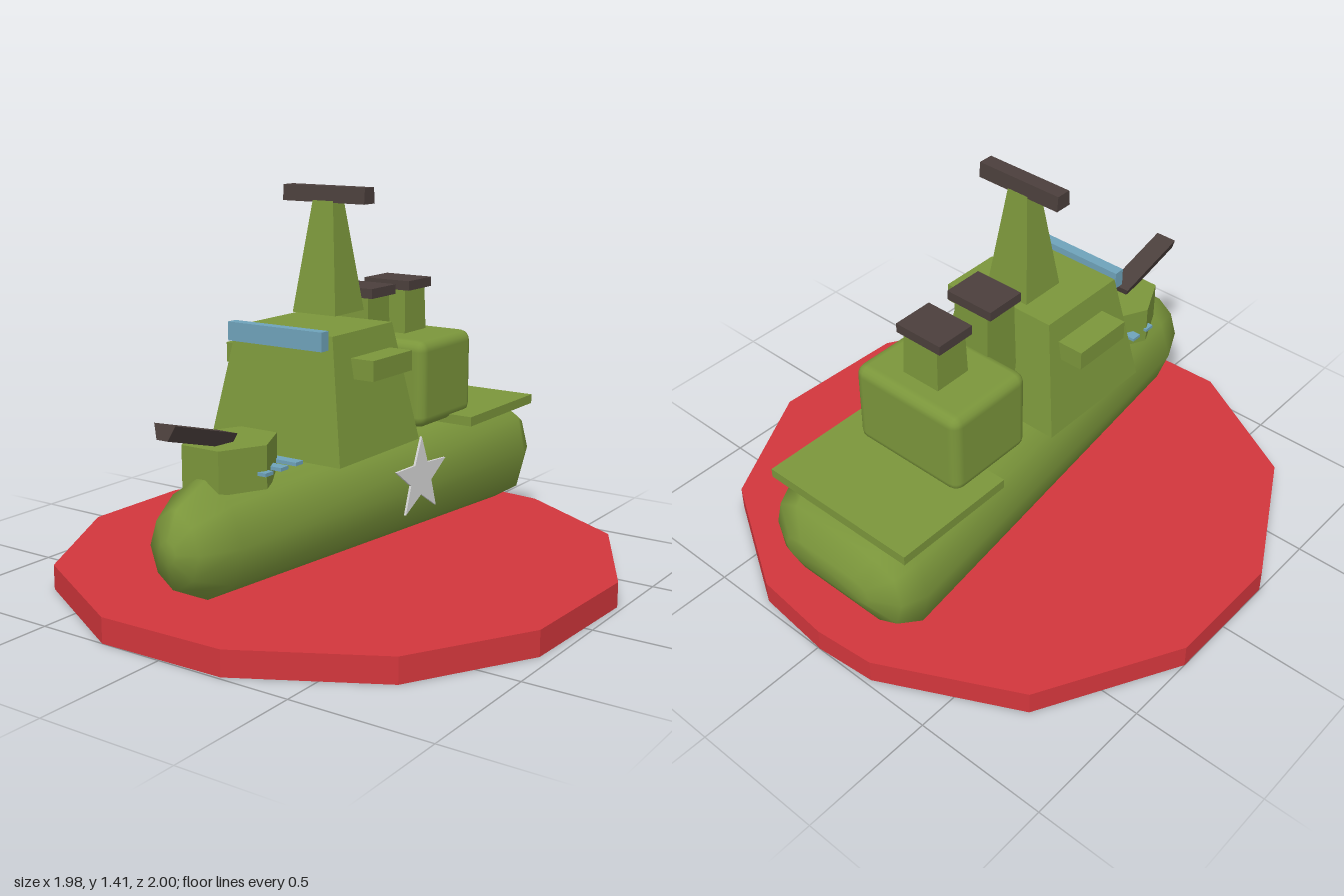
import * as THREE from 'three';
import { RoundedBoxGeometry } from 'three/addons/geometries/RoundedBoxGeometry.js';

const material = (name, color) => {
  const m = new THREE.MeshStandardMaterial({ color });
  m.name = name;
  return m;
};

// Box whose top face is scaled to another size, with flat faces
function taperedBox(w, h, d, topW = w, topD = d) {
  const g = new THREE.BoxGeometry(w, h, d);
  const p = g.attributes.position;
  for (let i = 0; i < p.count; i++) {
    if (p.getY(i) > 0) {
      p.setX(i, Math.sign(p.getX(i)) * topW / 2);
      p.setZ(i, Math.sign(p.getZ(i)) * topD / 2);
    }
  }
  g.computeVertexNormals();
  return g;
}

// Hull lofted from a boxy stern section to an octagonal bow section
function hullGeometry() {
  const stern = [[1, 0], [0.91, 0.7], [0.62, 1]];
  const bow = [[1, 0], [0.72, 0.65], [0.1, 1]];
  // z, width, height scale
  const rings = [
    [-0.93, 0, 0], [-0.93, 0.2, 0.25], [-0.88, 0.3, 0.73], [-0.79, 0.333, 1],
    [0.77, 0.167, 1], [0.905, 0.1, 0.66], [0.94, 0.035, 0.2], [0.94, 0, 0],
  ];
  const pos = [], index = [], n = 10;
  for (const [z, w, s] of rings) {
    const t = THREE.MathUtils.clamp((z + 0.79) / 1.56, 0, 1);
    const q = stern.map(([x, y], i) => [
      THREE.MathUtils.lerp(x, bow[i][0], t) * w,
      THREE.MathUtils.lerp(y, bow[i][1], t) * 0.2 * s,
    ]);
    const [a, b, c] = q;
    const loop = [a, b, c, [-c[0], c[1]], [-b[0], b[1]], [-a[0], 0],
      [-b[0], -b[1]], [-c[0], -c[1]], [c[0], -c[1]], [b[0], -b[1]]];
    for (const [x, y] of loop) pos.push(x - 0.007, y + 0.33, z);
  }
  for (let i = 0; i < rings.length - 1; i++) {
    for (let j = 0; j < n; j++) {
      const a = i * n + j, b = i * n + (j + 1) % n;
      index.push(a, b, a + n, b, b + n, a + n);
    }
  }
  const g = new THREE.BufferGeometry();
  g.setAttribute('position', new THREE.Float32BufferAttribute(pos, 3));
  g.setIndex(index);
  g.computeVertexNormals();
  return g;
}

export function createModel() {
  const group = new THREE.Group();
  const green = material('olive green', 0x7b963b);
  const red = material('base red', 0xd2363c);
  const dark = material('dark brown', 0x4b3f3c);
  const blue = material('glass blue', 0x6fa3ba);
  const white = material('star white', 0xd6d6d6);

  const add = (name, geometry, mat, x, y, z) => {
    const mesh = new THREE.Mesh(geometry, mat);
    mesh.name = name;
    mesh.position.set(x, y, z);
    group.add(mesh);
    return mesh;
  };

  // Faceted display base
  const outline = [[-0.01, -1], [0.29, -0.97], [0.73, -0.71], [0.98, -0.24], [0.96, 0.3], [0.71, 0.73],
    [0.24, 0.99], [-0.24, 1], [-0.73, 0.73], [-1, 0.23], [-1, -0.23], [-0.73, -0.73], [-0.24, -0.98]];
  const baseShape = new THREE.Shape(outline.map(([x, z]) => new THREE.Vector2(x, -z)));
  const base = new THREE.ExtrudeGeometry(baseShape, { depth: 0.09, bevelEnabled: false });
  base.rotateX(-Math.PI / 2);
  add('base', base, red, 0, 0, 0);

  // Hull and stern deck
  add('hull', hullGeometry(), green, 0, 0, 0);
  add('sternDeck', taperedBox(0.63, 0.035, 0.48), green, 0, 0.532, -0.622);

  // Bridge with side boxes and window band
  add('bridge', taperedBox(0.55, 0.42, 0.49, 0.4, 0.36), green, -0.005, 0.733, 0.155);
  for (const side of [-1, 1]) {
    add('bridgeWing', taperedBox(0.12, 0.07, 0.24), green, side * 0.25 - 0.01, 0.825, 0.13);
  }
  add('bridgeWindow', taperedBox(0.39, 0.065, 0.04), blue, -0.01, 0.93, 0.362);

  // Mast and crossbar
  add('mast', taperedBox(0.18, 0.385, 0.175, 0.085, 0.065), green, -0.01, 1.168, 0.067);
  add('mastBar', taperedBox(0.34, 0.055, 0.065, 0.34, 0.055), dark, -0.01, 1.382, 0.067);

  // Deckhouse and funnels
  add('deckhouse', new RoundedBoxGeometry(0.47, 0.32, 0.36, 2, 0.04), green, -0.005, 0.69, -0.355);
  for (const [z, bottom] of [[-0.13, 0.665], [-0.375, 0.8]]) {
    const h = 1.015 - bottom;
    add('funnel', taperedBox(0.16, h, 0.15, 0.15, 0.135), green, -0.005, bottom + h / 2, z);
    add('funnelCap', taperedBox(0.195, 0.035, 0.155), dark, -0.005, 1.028, z);
  }

  // Gun turret, barrel and deck slats
  const turret = new THREE.CylinderGeometry(0.15, 0.15, 0.145, 6).toNonIndexed();
  turret.rotateY(Math.PI / 6);
  turret.scale(1, 1, 1.17);
  turret.computeVertexNormals();
  add('turret', turret, green, -0.01, 0.558, 0.62);
  const barrel = add('gunBarrel', taperedBox(0.045, 0.05, 0.31, 0.085, 0.31), dark, -0.007, 0.675, 0.793);
  barrel.rotation.x = -0.27;
  for (const z of [0.47, 0.55, 0.63]) {
    add('deckSlat', taperedBox(0.325, 0.012, 0.04), blue, -0.005, 0.54, z);
  }

  // Star plate on the left side of the hull
  const star = new THREE.Shape();
  for (let i = 0; i < 10; i++) {
    const r = i % 2 ? 0.062 : 0.15, a = Math.PI / 2 + i * Math.PI / 5;
    star[i ? 'lineTo' : 'moveTo'](r * Math.cos(a), r * Math.sin(a));
  }
  star.closePath();
  const plate = new THREE.ExtrudeGeometry(star, { depth: 0.009, bevelEnabled: false });
  add('star', plate, white, 0.265, 0.378, -0.105).rotation.y = Math.PI / 2 - 0.1;

  return group;
}
